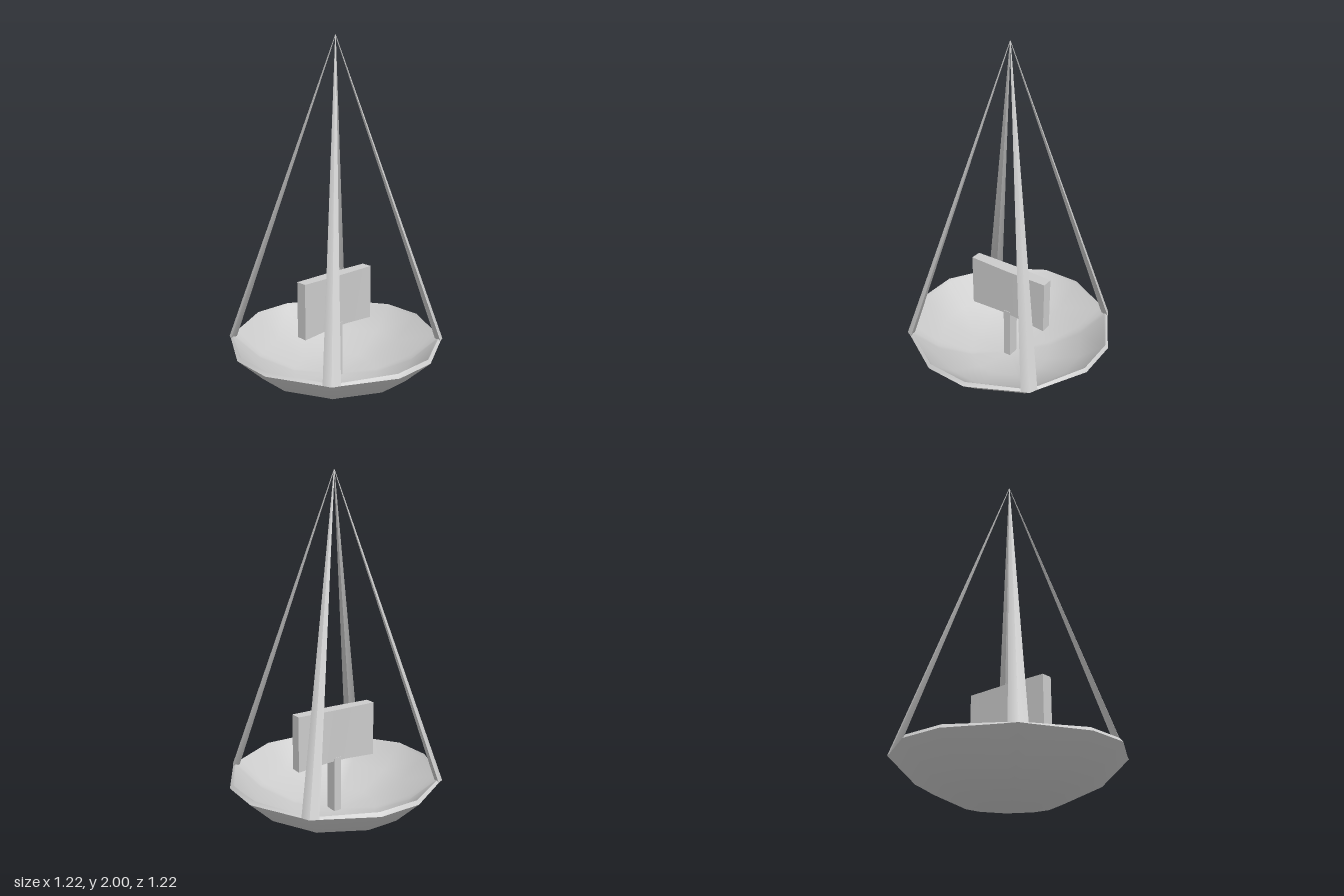
import * as THREE from 'three';
import { toCreasedNormals } from 'three/addons/utils/BufferGeometryUtils.js';

// Skin over closed rings of [x, y, z]; a ring of one point closes an end.
function loft(rings, crease) {
  const pos = [], index = [], start = [];
  rings.forEach((ring) => {
    start.push(pos.length / 3);
    ring.forEach((p) => pos.push(...p));
  });
  for (let i = 0; i < rings.length - 1; i++) {
    const lower = rings[i].length, upper = rings[i + 1].length;
    const n = Math.max(lower, upper);
    for (let j = 0; j < n; j++) {
      const a = start[i] + (j % lower), b = start[i] + ((j + 1) % lower);
      const c = start[i + 1] + ((j + 1) % upper), d = start[i + 1] + (j % upper);
      if (lower > 1) index.push(a, b, c);
      if (upper > 1) index.push(a, c, d);
    }
  }
  const g = new THREE.BufferGeometry();
  g.setAttribute('position', new THREE.Float32BufferAttribute(pos, 3));
  g.setIndex(index);
  return toCreasedNormals(g, crease);
}

export function createModel() {
  const model = new THREE.Group();
  const material = new THREE.MeshStandardMaterial({ color: 0xcccccc });
  const add = (name, geometry, parent = model) => {
    const mesh = new THREE.Mesh(geometry, material);
    mesh.name = name;
    parent.add(mesh);
    return mesh;
  };

  // Rim outline: one quarter repeated four times; corners sit slightly lower
  const quarter = [[-0.125, 0.612, 0], [0.125, 0.612, 0], [0.4, 0.465, -0.01], [0.444, 0.444, -0.01], [0.465, 0.4, -0.01]];
  const outline = [];
  for (let q = 0; q < 4; q++) {
    const c = Math.round(Math.cos(q * Math.PI / 2)), s = Math.round(Math.sin(q * Math.PI / 2));
    quarter.forEach(([x, z, dip]) => outline.push([x * c + z * s, z * c - x * s, dip]));
  }
  const ring = (radius, y, dip = 0) => outline.map(([x, z, d]) => [x * radius / 0.612, y + d * dip, z * radius / 0.612]);

  // Bowl: outside, lip, then inside
  add('bowl', loft([
    [[0, 0, 0]],
    ring(0.255, 0.04), ring(0.465, 0.135), ring(0.612, 0.28),
    ring(0.597, 0.3, 1), ring(0.585, 0.283),
    ring(0.445, 0.155), ring(0.245, 0.068),
    [[0, 0.045, 0]],
  ], 0.85));

  // Four tapering legs from the bowl corners to the apex
  const legGeometry = loft([
    [[0, 0.265, 0.61]],
    [[0, 0.28, 0.629], [0.046, 0.28, 0.612], [0, 0.28, 0.585], [-0.046, 0.28, 0.612]],
    [[0, 2, 0.002], [0.002, 2, 0], [0, 2, -0.002], [-0.002, 2, 0]],
    [[0, 2, 0]],
  ], 0.9);
  const legs = new THREE.Group();
  legs.name = 'legs';
  for (let i = 0; i < 4; i++) {
    add('leg', legGeometry, legs).rotation.y = Math.PI / 4 + i * Math.PI / 2;
  }
  model.add(legs);

  // Post rising from the bowl floor
  add('post', new THREE.BoxGeometry(0.046, 0.34, 0.074)).position.y = 0.21;

  // Upright panel with a slightly arched underside and a faint bulge
  const panel = new THREE.BoxGeometry(0.52, 0.325, 0.066, 8, 1, 1);
  const p = panel.attributes.position;
  for (let i = 0; i < p.count; i++) {
    const mid = 1 - Math.abs(p.getX(i)) / 0.26;
    if (p.getY(i) < 0) p.setY(i, p.getY(i) + 0.014 * Math.min(1, mid * 1.3));
    else p.setZ(i, p.getZ(i) * (1 + 0.18 * mid));
  }
  add('panel', toCreasedNormals(panel, 0.5)).position.y = 0.508;

  return model;
}
